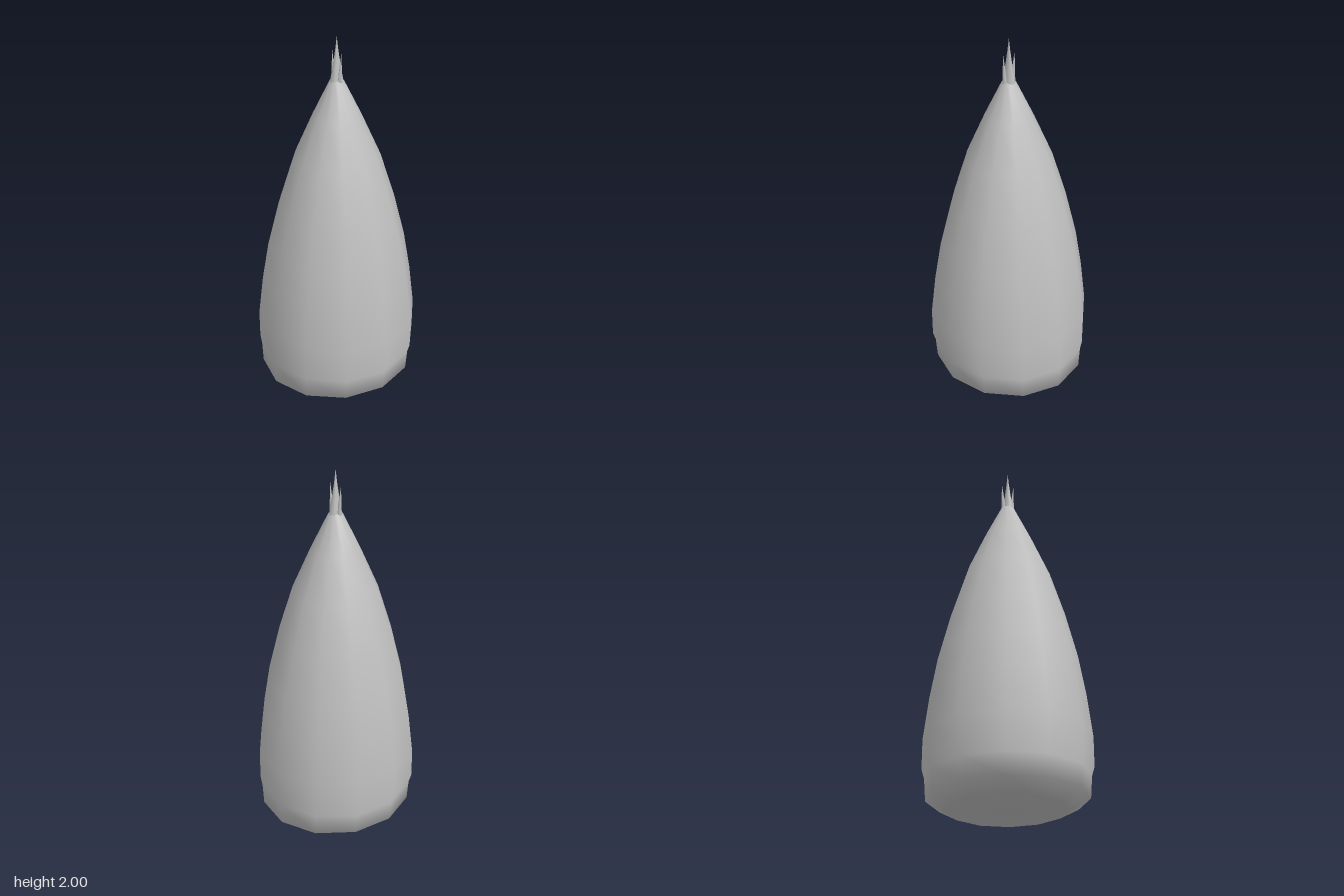
import * as THREE from 'three';

const SIDES = 12;

export function createModel() {
  const group = new THREE.Group();
  const grey = new THREE.MeshStandardMaterial({ color: 0xbfbfbf });
  grey.name = 'plain grey';

  const lathe = (name, points, sides) => {
    const geometry = new THREE.LatheGeometry(points.map(([r, y]) => new THREE.Vector2(r, y)), sides);
    const mesh = new THREE.Mesh(geometry, grey);
    mesh.name = name;
    group.add(mesh);
    return mesh;
  };

  // Tapered twelve-sided body, closed at both ends
  const body = lathe('body', [
    [0, 0], [0.317, 0.004], [0.434, 0.063], [0.437, 0.18], [0.441, 0.23], [0.441, 0.39],
    [0.413, 0.62], [0.375, 0.84], [0.312, 1.09], [0.233, 1.34], [0.132, 1.57],
    [0.038, 1.765], [0, 1.79],
  ], SIDES);

  // The base is pinched slightly from left to right
  const pos = body.geometry.attributes.position;
  for (let i = 0; i < pos.count; i++) {
    if (pos.getY(i) < 0.2) pos.setX(i, pos.getX(i) * (pos.getY(i) > 0.1 ? 0.968 : 0.95));
  }

  // Tall central spike, deeper than it is wide
  const spike = lathe('centreSpike', [[0.04, 1.762], [0.024, 1.84], [0.009, 1.93], [0, 2]], 8);
  spike.scale.x = 0.72;

  // Thin side spikes that lean outward
  for (const side of [-1, 1]) {
    const geometry = new THREE.ConeGeometry(0.014, 0.17, 6);
    const p = geometry.attributes.position;
    for (let i = 0; i < p.count; i++) {
      const t = (p.getY(i) + 0.085) / 0.17;
      p.setX(i, p.getX(i) + side * (0.025 + 0.012 * t));
    }
    geometry.computeVertexNormals();
    const mesh = new THREE.Mesh(geometry, grey);
    mesh.name = side > 0 ? 'leftSpike' : 'rightSpike';
    mesh.position.y = 1.837;
    group.add(mesh);
  }
  return group;
}
